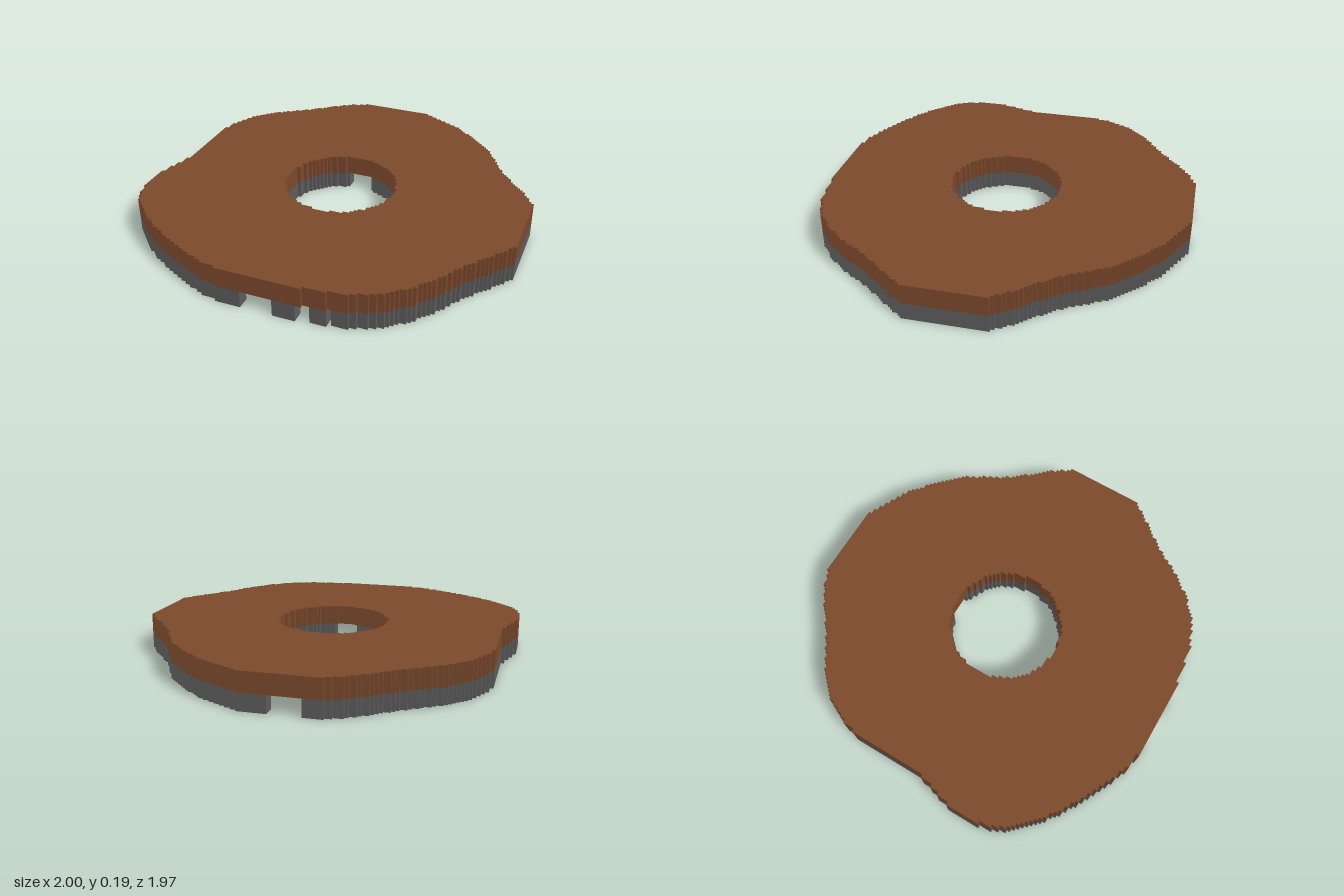
import * as THREE from 'three';
import { mergeGeometries } from 'three/addons/utils/BufferGeometryUtils.js';

const CELL = 1 / 60;
const COLS = 120, ROWS = 118;
const TOP = 0.195, SPLIT = 0.09;
const WALL = 0.07;
const HOLE = { x: -0.02, z: 0.03, r: 0.3 };

// Outline of the plate, as [z, x] points from back to front
const leftEdge = [[-0.99, -0.22], [-0.94, -0.33], [-0.88, -0.42], [-0.78, -0.55], [-0.68, -0.7],
  [-0.6, -0.8], [-0.52, -0.86], [-0.42, -0.91], [-0.33, -0.93], [0.05, -0.935], [0.12, -0.95],
  [0.2, -0.975], [0.3, -1], [0.42, -1], [0.5, -0.98], [0.6, -0.93], [0.68, -0.85], [0.77, -0.74],
  [0.84, -0.62], [0.9, -0.5], [0.96, -0.36], [0.99, -0.22]];
const rightEdge = [[-0.99, 0.13], [-0.955, 0.21], [-0.91, 0.3], [-0.85, 0.41], [-0.77, 0.5],
  [-0.7, 0.58], [-0.63, 0.64], [-0.55, 0.69], [-0.47, 0.73], [-0.4, 0.78], [-0.3, 0.86],
  [-0.21, 0.94], [-0.12, 1], [0.29, 1], [0.36, 0.95], [0.47, 0.86], [0.58, 0.78], [0.7, 0.71],
  [0.8, 0.62], [0.88, 0.52], [0.94, 0.39], [0.96, 0.28], [0.985, 0.08]];

function edgeAt(edge, z) {
  let i = 1;
  while (i < edge.length - 1 && edge[i][0] < z) i++;
  const [z0, x0] = edge[i - 1], [z1, x1] = edge[i];
  return x0 + (x1 - x0) * THREE.MathUtils.clamp((z - z0) / (z1 - z0), 0, 1);
}

function inPlate(x, z) {
  if (Math.abs(z) > ROWS * CELL / 2) return false;
  if (Math.hypot(x - HOLE.x, z - HOLE.z) < HOLE.r) return false;
  return x > edgeAt(leftEdge, z) && x < edgeAt(rightEdge, z);
}

// Openings through the walls
function inGap(x, z) {
  const between = (a, b) => x > a && x < b;
  if (Math.abs(z) < 0.5) return between(-0.09, 0.05);
  if (between(-0.15, 0.02)) return true;
  return z > 0.8 && (between(0.13, 0.2) || between(0.28, 0.3));
}

// A wall cell lies within the wall thickness of the plate's rim or hole
function inWall(x, z) {
  if (!inPlate(x, z) || inGap(x, z)) return false;
  for (let k = 0; k < 24; k++) {
    const a = k * Math.PI / 12;
    if (!inPlate(x + WALL * Math.cos(a), z + WALL * Math.sin(a))) return true;
  }
  return false;
}

// One box for each unbroken run of filled cells in every row
function rowBoxes(test, y0, y1) {
  const boxes = [];
  for (let j = 0; j < ROWS; j++) {
    const z = (j + 0.5 - ROWS / 2) * CELL;
    let start = -1;
    for (let i = 0; i <= COLS; i++) {
      const filled = i < COLS && test((i + 0.5 - COLS / 2) * CELL, z);
      if (filled && start < 0) start = i;
      if (!filled && start >= 0) {
        const box = new THREE.BoxGeometry((i - start) * CELL, y1 - y0, CELL);
        box.translate(((i + start) / 2 - COLS / 2) * CELL, (y0 + y1) / 2, z);
        boxes.push(box);
        start = -1;
      }
    }
  }
  return mergeGeometries(boxes);
}

export function createModel() {
  const brown = new THREE.MeshStandardMaterial({ color: 0x7d4a2d });
  brown.name = 'brown';
  const grey = new THREE.MeshStandardMaterial({ color: 0x5f5d5e });
  grey.name = 'grey';

  const group = new THREE.Group();
  group.name = 'steppedPlate';

  // Brown plate with the round opening
  const plate = new THREE.Mesh(rowBoxes(inPlate, SPLIT, TOP), brown);
  plate.name = 'plate';

  // Grey walls below it: outer rim and the ring around the opening
  const outer = new THREE.Mesh(
    rowBoxes((x, z) => Math.hypot(x - HOLE.x, z - HOLE.z) > 0.5 && inWall(x, z), 0, SPLIT), grey);
  outer.name = 'outerWall';
  const inner = new THREE.Mesh(
    rowBoxes((x, z) => Math.hypot(x - HOLE.x, z - HOLE.z) <= 0.5 && inWall(x, z), 0, SPLIT), grey);
  inner.name = 'innerWall';

  group.add(plate, outer, inner);
  return group;
}
